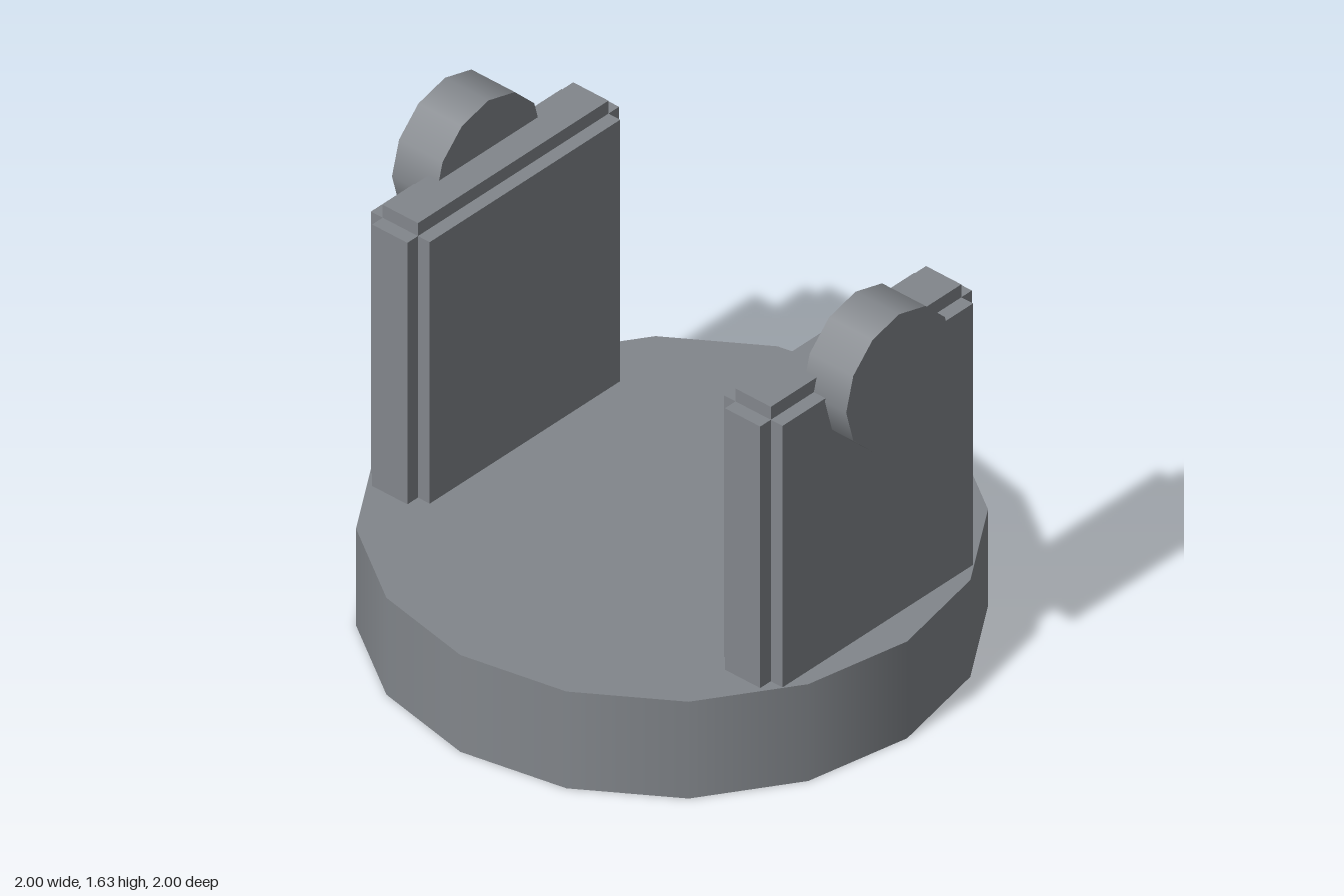
import * as THREE from 'three';

const material = new THREE.MeshStandardMaterial({ color: 0x82868b });

function add(parent, name, geometry, x, y, z) {
  const mesh = new THREE.Mesh(geometry, material);
  mesh.name = name;
  mesh.position.set(x, y, z);
  parent.add(mesh);
  return mesh;
}

const BASE_TOP = 0.375;

// Upright wall with stepped edges (three crossing slabs) and a round boss outside
function createSupport(side) {
  const support = new THREE.Group();
  support.name = side > 0 ? 'leftSupport' : 'rightSupport';
  const slabs = [
    ['wallPanel', 0.25, 1.388, 0.9],
    ['wallEdge', 0.15, 1.388, 1.0],
    ['wallCap', 0.15, 1.438, 0.9],
  ];
  for (const [name, width, top, depth] of slabs) {
    const height = top - BASE_TOP;
    add(support, name, new THREE.BoxGeometry(width, height, depth), side * 0.75, BASE_TOP + height / 2, 0);
  }
  const boss = add(support, 'pivotBoss', new THREE.CylinderGeometry(0.25, 0.25, 0.185, 12), side * 0.873, 1.376, 0);
  boss.rotation.z = -side * Math.PI / 2;
  return support;
}

export function createModel() {
  const model = new THREE.Group();
  model.name = 'swivelMount';

  // Sixteen-sided turntable
  add(model, 'base', new THREE.CylinderGeometry(1, 1, BASE_TOP, 16), 0, BASE_TOP / 2, 0);

  // Mirrored supports
  for (const side of [-1, 1]) model.add(createSupport(side));
  return model;
}
